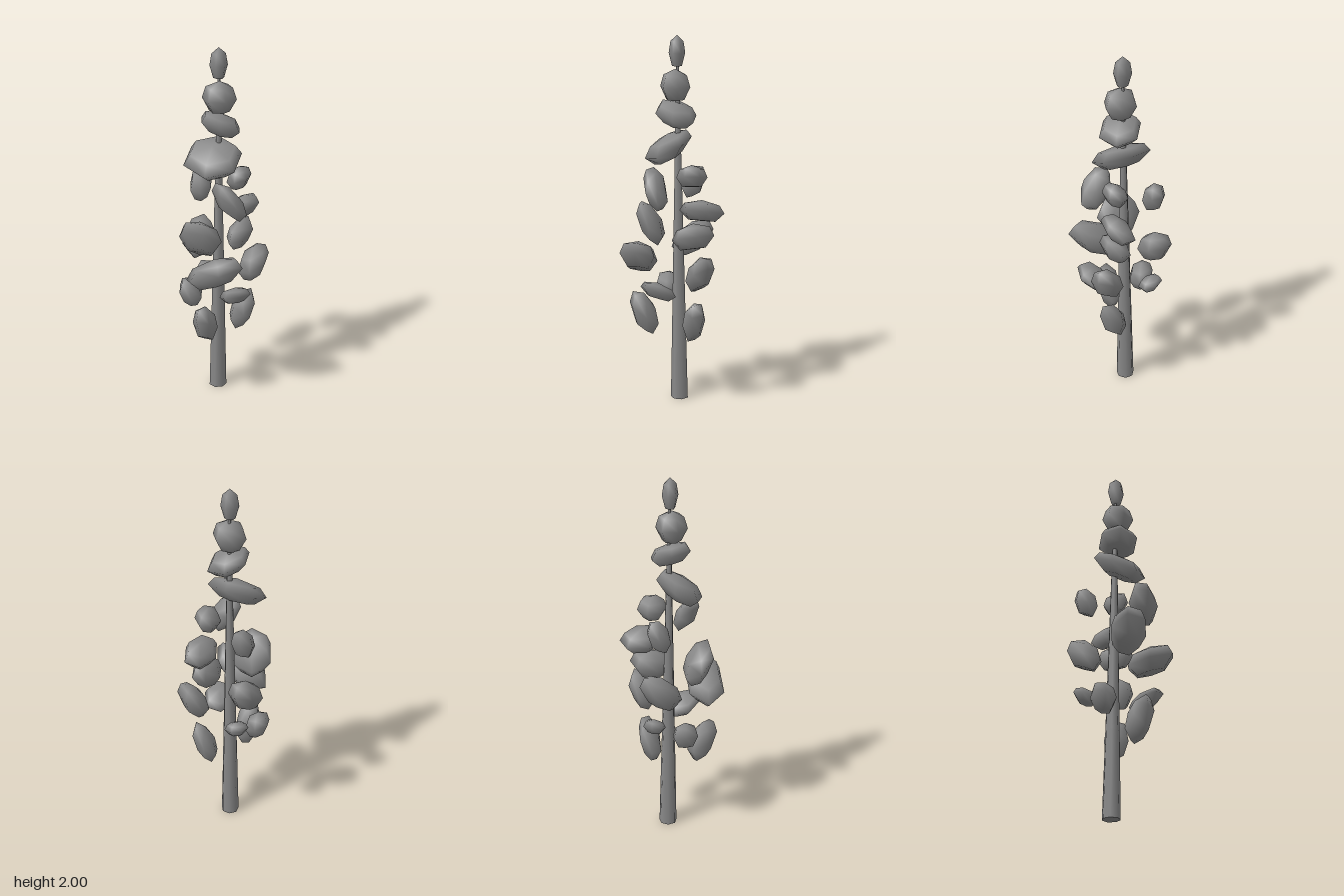
import * as THREE from 'three';
import { mergeVertices } from 'three/addons/utils/BufferGeometryUtils.js';

const grey = new THREE.MeshStandardMaterial({ color: 0x888888 });
grey.name = 'matte grey';

// Six-sided pebble with a blunt base and a pointed tip
const PROFILE = [[0, -1], [0.6, -1], [1, -0.15], [0.78, 0.6], [0, 1]].map(([r, y]) => new THREE.Vector2(r, y));

// Slants the pebble (kx, kz), then fits it to the given half sizes
function clumpGeometry(size, kx, kz, spin) {
  let g = new THREE.LatheGeometry(PROFILE, 6);
  g.deleteAttribute('uv');
  g.deleteAttribute('normal');
  g = mergeVertices(g, 1e-4);
  g.rotateY(spin);
  const p = g.attributes.position;
  for (let i = 0; i < p.count; i++) {
    p.setY(i, p.getY(i) + kx * p.getX(i) + kz * p.getZ(i));
  }
  g.center();
  g.computeBoundingBox();
  const b = g.boundingBox.max;
  g.scale(size[0] / b.x, size[1] / b.y, size[2] / b.z);
  g.computeVertexNormals();
  return g;
}

// Foliage: centre, half sizes, slant along x, slant along z
const CLUMPS = [
  [[-0.007, 1.92, -0.027], [0.042, 0.08, 0.043], 0, 0],
  [[0, 1.745, -0.018], [0.09, 0.08, 0.078], 0, 0],
  [[0.005, 1.588, -0.022], [0.111, 0.068, 0.108], -0.5, 0.4],
  [[-0.024, 1.408, 0.018], [0.141, 0.093, 0.124], 0, -0.9],
  [[0.092, 1.205, 0.085], [0.093, 0.105, 0.064], -0.7, 0.5],
  [[-0.142, 1.195, -0.12], [0.063, 0.087, 0.065], 0, -0.4],
  [[0.08, 1.27, -0.105], [0.056, 0.063, 0.082], 0.3, 0],
  [[0.092, 1.085, -0.158], [0.078, 0.063, 0.118], 0.4, 0.2],
  [[-0.06, 0.982, 0.113], [0.125, 0.118, 0.077], 0, 0.8],
  [[-0.156, 0.875, -0.115], [0.074, 0.1, 0.115], 0, -0.6],
  [[0.085, 0.942, -0.112], [0.068, 0.077, 0.112], 0.3, -0.2],
  [[0.042, 0.825, 0.177], [0.164, 0.11, 0.1], 0.9, 0.2],
  [[0.152, 0.755, -0.148], [0.078, 0.105, 0.077], 0.5, -0.4],
  [[0.123, 0.655, 0.073], [0.082, 0.06, 0.094], 0.5, 0.7],
  [[-0.153, 0.605, 0.02], [0.068, 0.078, 0.07], -0.3, 0],
  [[-0.117, 0.66, -0.142], [0.058, 0.045, 0.062], -0.4, -0.3],
  [[-0.02, 0.488, 0.15], [0.066, 0.118, 0.079], 0, 0.6],
  [[0.1, 0.47, -0.118], [0.077, 0.117, 0.062], 0.6, -0.3],
];

export function createModel() {
  const tree = new THREE.Group();
  tree.name = 'tree';

  // Tapering trunk that leans very slightly towards the tip
  const H = 1.9;
  const trunkGeo = new THREE.CylinderGeometry(0.006, 0.049, H, 7, 4);
  trunkGeo.translate(0, H / 2, 0);
  const p = trunkGeo.attributes.position;
  for (let i = 0; i < p.count; i++) {
    const t = p.getY(i) / H;
    p.setX(i, p.getX(i) - 0.018 + 0.012 * t);
    p.setZ(i, p.getZ(i) - 0.045 + 0.015 * t);
  }
  const trunk = new THREE.Mesh(trunkGeo, grey);
  trunk.name = 'trunk';
  tree.add(trunk);

  // Leaf clumps stacked around the trunk
  const foliage = new THREE.Group();
  foliage.name = 'foliage';
  CLUMPS.forEach(([centre, size, kx, kz], i) => {
    const clump = new THREE.Mesh(clumpGeometry(size, kx, kz, i * 0.7), grey);
    clump.position.set(...centre);
    clump.name = `leafClump${i + 1}`;
    foliage.add(clump);
  });
  tree.add(foliage);
  return tree;
}
